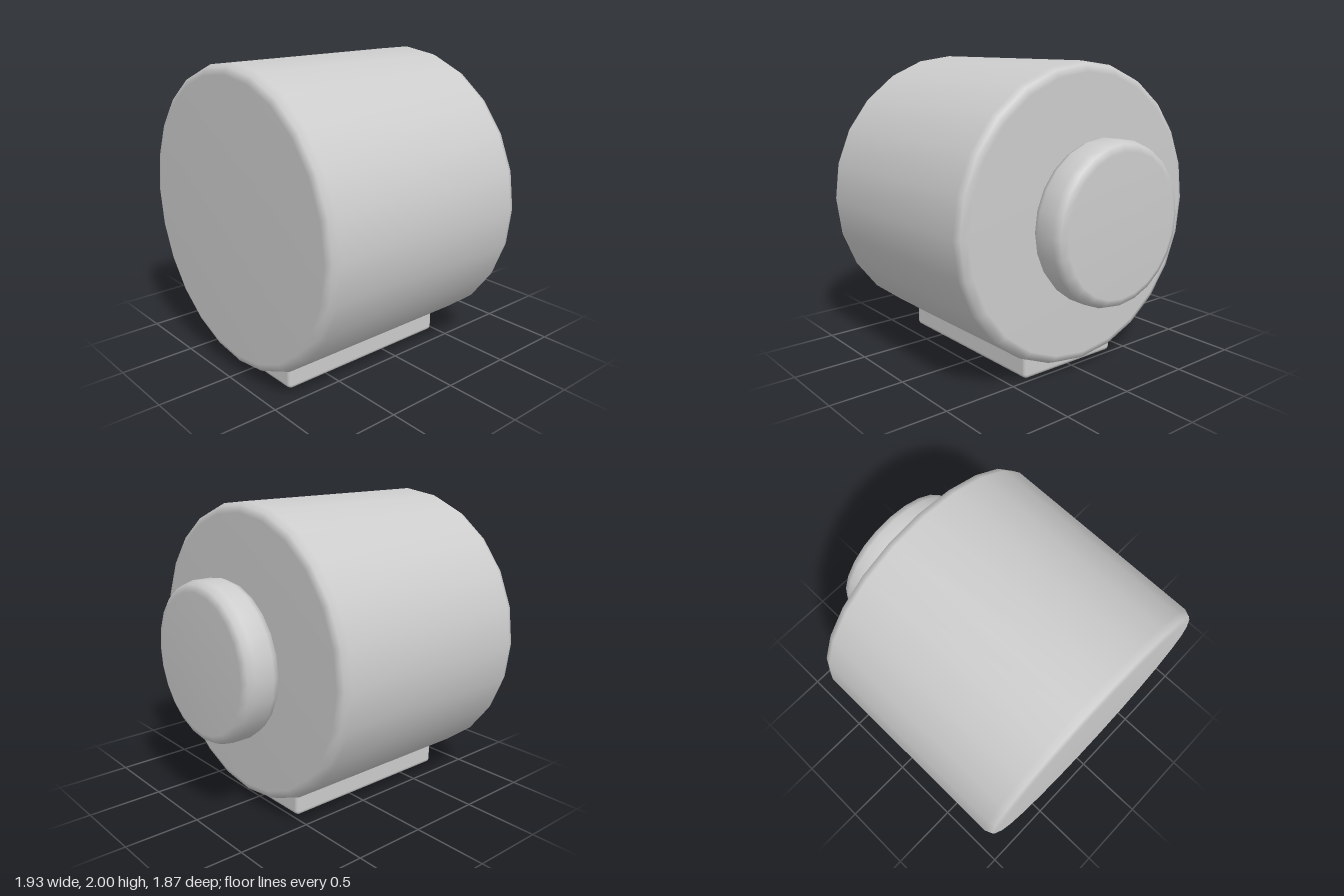
import * as THREE from 'three';
import { RoundedBoxGeometry } from 'three/addons/geometries/RoundedBoxGeometry.js';

const SIDES = 24;
const AXIS_Y = 1.035;

// Closed drum lying along z, with two-step rounded rims
function makeDrum(name, radius, zBack, zFront, bevel, material) {
  const k = bevel * (1 - Math.SQRT1_2);
  const profile = [
    [0, zBack],
    [radius - bevel, zBack],
    [radius - k, zBack + k],
    [radius, zBack + bevel],
    [radius, zFront - bevel],
    [radius - k, zFront - k],
    [radius - bevel, zFront],
    [0, zFront],
  ].map(([r, z]) => new THREE.Vector2(r, z));
  const geometry = new THREE.LatheGeometry(profile, SIDES);
  geometry.rotateX(Math.PI / 2);
  const mesh = new THREE.Mesh(geometry, material);
  mesh.name = name;
  mesh.position.y = AXIS_Y;
  return mesh;
}

export function createModel() {
  const model = new THREE.Group();
  model.name = 'drumOnFoot';

  const grey = new THREE.MeshStandardMaterial({ color: 0xcccccc });
  grey.name = 'light grey';

  // Main drum and the separate disc floating behind it
  model.add(makeDrum('body', 0.965, -0.61, 0.937, 0.065, grey));
  model.add(makeDrum('rearDisc', 0.515, -0.937, -0.682, 0.065, grey));

  // Block foot, its top buried in the drum
  const foot = new THREE.Mesh(new RoundedBoxGeometry(0.77, 0.3, 1.285, 2, 0.03), grey);
  foot.name = 'foot';
  foot.position.set(0, 0.15, 0.163);
  model.add(foot);

  return model;
}
